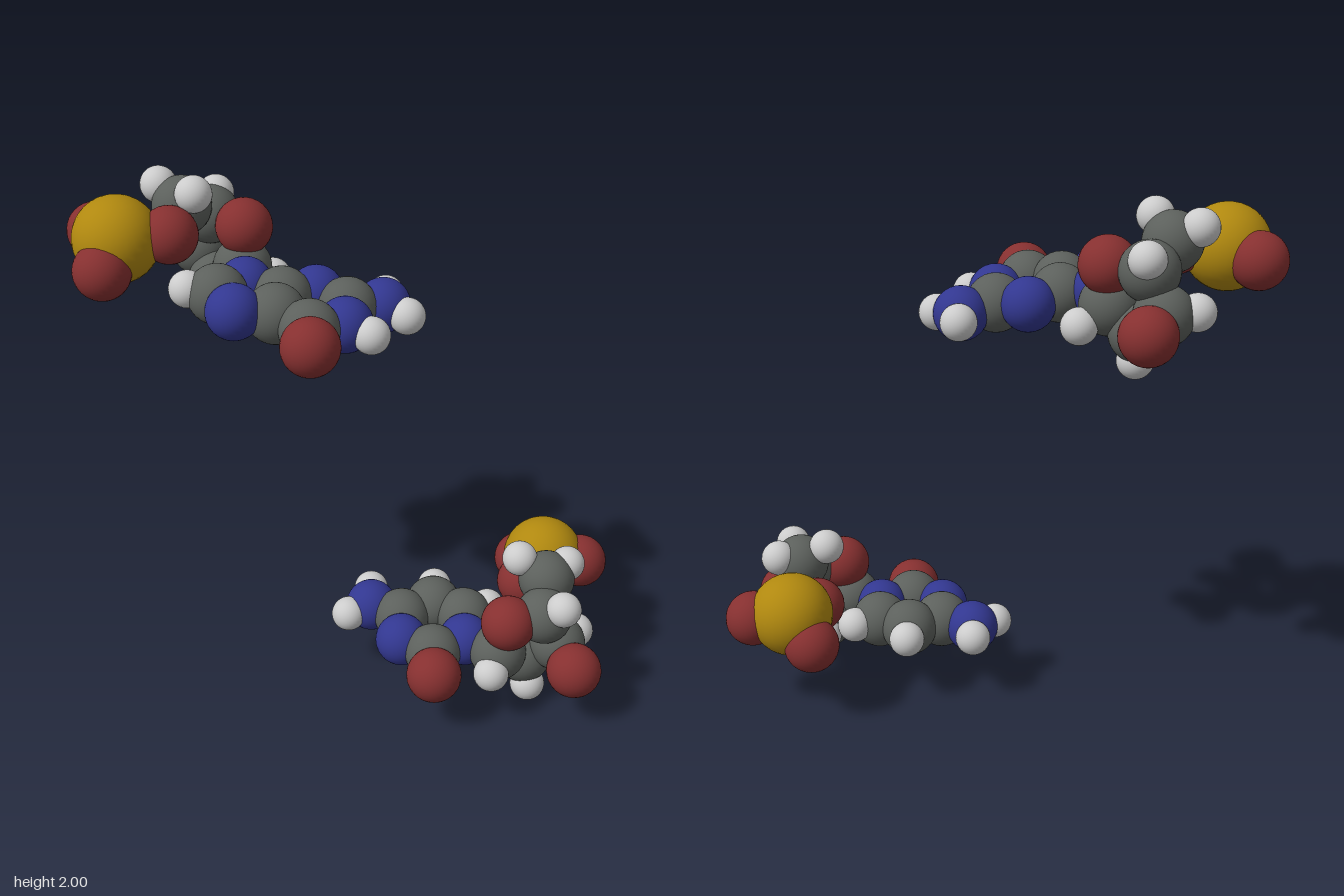
import * as THREE from 'three';

// Radius and colour of each kind of ball
const KINDS = {
  H: { name: 'hydrogen', r: 0.067, color: 0xc4c4c4 },
  C: { name: 'carbon', r: 0.108, color: 0x5c605c },
  N: { name: 'nitrogen', r: 0.1, color: 0x323790 },
  O: { name: 'oxygen', r: 0.104, color: 0x863030 },
  P: { name: 'phosphorus', r: 0.157, color: 0xb0880f },
};
for (const k of Object.values(KINDS)) {
  k.geometry = new THREE.SphereGeometry(k.r, 32, 20);
  k.material = new THREE.MeshStandardMaterial({ color: k.color });
}

function atom(group, kind, x, y, z) {
  const k = KINDS[kind];
  const mesh = new THREE.Mesh(k.geometry, k.material);
  mesh.name = k.name;
  mesh.position.set(x, y, z);
  group.add(mesh);
}

function cluster(name, atoms) {
  const g = new THREE.Group();
  g.name = name;
  for (const a of atoms) atom(g, ...a);
  return g;
}

// Flat ring system: atoms given as (u, v) in a tilted plane
function flatBase(name, origin, u, v, atoms) {
  const at = (i, a, b) => origin[i] + a * u[i] + b * v[i];
  return cluster(name, atoms.map(([k, a, b]) => [k, at(0, a, b), at(1, a, b), at(2, a, b)]));
}

export function createModel() {
  const model = new THREE.Group();
  model.name = 'moleculePair';

  // Upper unit: double ring, sugar and phosphate
  const upper = new THREE.Group();
  upper.name = 'upperUnit';
  upper.add(
    flatBase('upperDoubleRing', [-0.393, 1.6, 0.12], [0.1008, -0.01, -0.0252], [-0.0252, 0.014, -0.1008], [
      ['N', 2.16, 4.04], ['C', 0.79, 4.22], ['N', 0.14, 3.09], ['C', 1.13, 2.11],
      ['C', 1.02, 0.7], ['O', 0, 0], ['N', 2.27, 0.09], ['C', 3.47, 0.76],
      ['N', 4.58, 0], ['N', 3.58, 2.08], ['C', 2.38, 2.69],
      ['H', 0.32, 5.1], ['H', 2.28, -0.92], ['H', 5.45, 0.42], ['H', 4.5, -1],
    ]),
    cluster('upperSugar', [
      ['C', -0.18, 1.63, -0.47], ['C', -0.21, 1.55, -0.58], ['C', -0.19, 1.64, -0.7],
      ['C', -0.18, 1.785, -0.64], ['C', -0.315, 1.86, -0.63],
      ['O', -0.16, 1.78, -0.475], ['O', -0.07, 1.6, -0.73],
      ['H', -0.07, 1.57, -0.43], ['H', -0.21, 1.445, -0.57], ['H', -0.31, 1.57, -0.53],
      ['H', -0.27, 1.65, -0.78], ['H', -0.12, 1.84, -0.675],
      ['H', -0.33, 1.933, -0.54], ['H', -0.34, 1.92, -0.725],
    ]),
    cluster('upperPhosphate', [
      ['P', -0.58, 1.8, -0.67], ['O', -0.44, 1.81, -0.55],
      ['O', -0.69, 1.73, -0.615], ['O', -0.56, 1.78, -0.82],
    ]),
  );

  // Lower unit: single ring, sugar and phosphate
  const lower = new THREE.Group();
  lower.name = 'lowerUnit';
  lower.add(
    flatBase('lowerSingleRing', [-0.12, 0.235, 0.47], [0.0937, 0.006, -0.0427], [-0.0427, 0.001, -0.0937], [
      ['O', 0, 0], ['C', 3.51, 0], ['N', 2.23, -0.46], ['C', 1.16, 0.44], ['N', 1.41, 1.77],
      ['C', 2.67, 2.21], ['N', 2.88, 3.53], ['C', 3.78, 1.31],
      ['H', 4.81, 1.62], ['H', 4.34, -0.69], ['H', 3.82, 3.89], ['H', 2.1, 4.16],
    ]),
    cluster('lowerSugar', [
      ['C', 0.14, 0.25, 0.56], ['C', 0.27, 0.175, 0.58], ['C', 0.335, 0.26, 0.69],
      ['C', 0.28, 0.405, 0.66], ['C', 0.385, 0.48, 0.58],
      ['O', 0.157, 0.395, 0.59], ['O', 0.28, 0.23, 0.82],
      ['H', 0.052, 0.22, 0.605], ['H', 0.25, 0.07, 0.625], ['H', 0.35, 0.175, 0.495],
      ['H', 0.45, 0.255, 0.69], ['H', 0.285, 0.475, 0.747],
      ['H', 0.328, 0.558, 0.49], ['H', 0.473, 0.52, 0.607],
    ]),
    cluster('lowerPhosphate', [
      ['P', 0.588, 0.395, 0.4], ['O', 0.435, 0.365, 0.43],
      ['O', 0.687, 0.375, 0.51], ['O', 0.6, 0.315, 0.275],
    ]),
  );

  model.add(upper, lower);
  return model;
}
